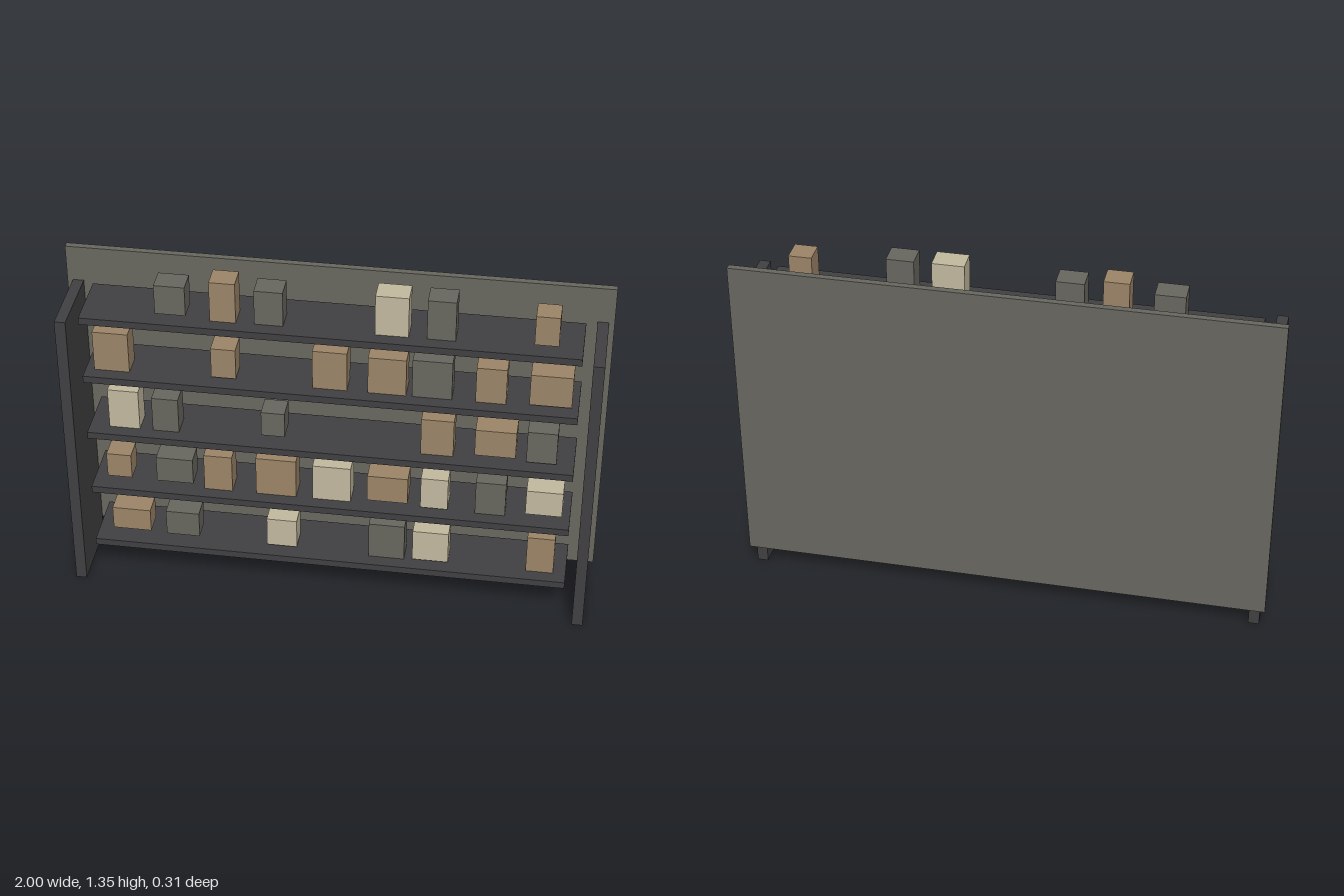
import * as THREE from 'three';

const material = (name, color) => {
  const m = new THREE.MeshStandardMaterial({ color });
  m.name = name;
  return m;
};

export function createModel() {
  const charcoal = material('charcoal', 0x404042);
  const grey = material('warm grey', 0x68675f);
  const tan = material('tan', 0x9c8568);
  const cream = material('cream', 0xc3b99f);
  const goodsColours = { g: grey, t: tan, c: cream };

  const group = new THREE.Group();
  group.name = 'shelvingUnit';

  const box = (name, mat, size, position, parent = group) => {
    const mesh = new THREE.Mesh(new THREE.BoxGeometry(...size), mat);
    mesh.name = name;
    mesh.position.set(...position);
    parent.add(mesh);
  };

  // Back board and two upright ends
  box('backPanel', grey, [2, 1.247, 0.025], [0, 0.7025, -0.1425]);
  box('leftEnd', charcoal, [0.041, 1.185, 0.285], [0.9595, 0.5925, 0.0125]);
  box('rightEnd', charcoal, [0.041, 1.185, 0.285], [-0.9595, 0.5925, 0.0125]);

  // Goods per shelf, bottom to top: colour, centre x, width, height
  const rows = [
    [['t', -0.765, 0.147, 0.096], ['g', -0.566, 0.128, 0.107], ['c', -0.182, 0.115, 0.123],
      ['g', 0.219, 0.136, 0.166], ['c', 0.386, 0.136, 0.134], ['t', 0.801, 0.104, 0.176]],
    [['t', -0.8, 0.094, 0.102], ['g', -0.587, 0.139, 0.107], ['t', -0.421, 0.107, 0.166],
      ['t', -0.201, 0.152, 0.182], ['c', 0.009, 0.144, 0.16], ['t', 0.219, 0.152, 0.112],
      ['c', 0.394, 0.102, 0.134], ['g', 0.603, 0.112, 0.144], ['c', 0.802, 0.136, 0.107]],
    [['c', -0.768, 0.115, 0.187], ['g', -0.612, 0.099, 0.144], ['g', -0.209, 0.088, 0.102],
      ['t', 0.398, 0.12, 0.166], ['t', 0.611, 0.15, 0.112], ['g', 0.78, 0.11, 0.134]],
    [['t', -0.802, 0.131, 0.182], ['t', -0.387, 0.091, 0.123], ['t', 0.002, 0.126, 0.176],
      ['t', 0.21, 0.139, 0.16], ['g', 0.373, 0.144, 0.171], ['t', 0.585, 0.11, 0.15],
      ['t', 0.799, 0.152, 0.128]],
    [['g', -0.574, 0.112, 0.118], ['t', -0.383, 0.094, 0.18], ['g', -0.217, 0.104, 0.139],
      ['c', 0.224, 0.12, 0.18], ['g', 0.4, 0.102, 0.176], ['t', 0.771, 0.086, 0.118]],
  ];

  // Evenly spaced shelves; goods share one centre height above each shelf
  rows.forEach((goods, i) => {
    const top = 0.173 + i * 0.2537;
    const row = new THREE.Group();
    row.name = `shelfRow${i + 1}`;
    group.add(row);
    box('shelf', charcoal, [1.8, 0.028, 0.232], [0, top - 0.014, 0.006], row);
    for (const [colour, x, width, height] of goods) {
      box('carton', goodsColours[colour], [width, height, 0.087], [x, top + 0.072, 0.0285], row);
    }
  });

  return group;
}
